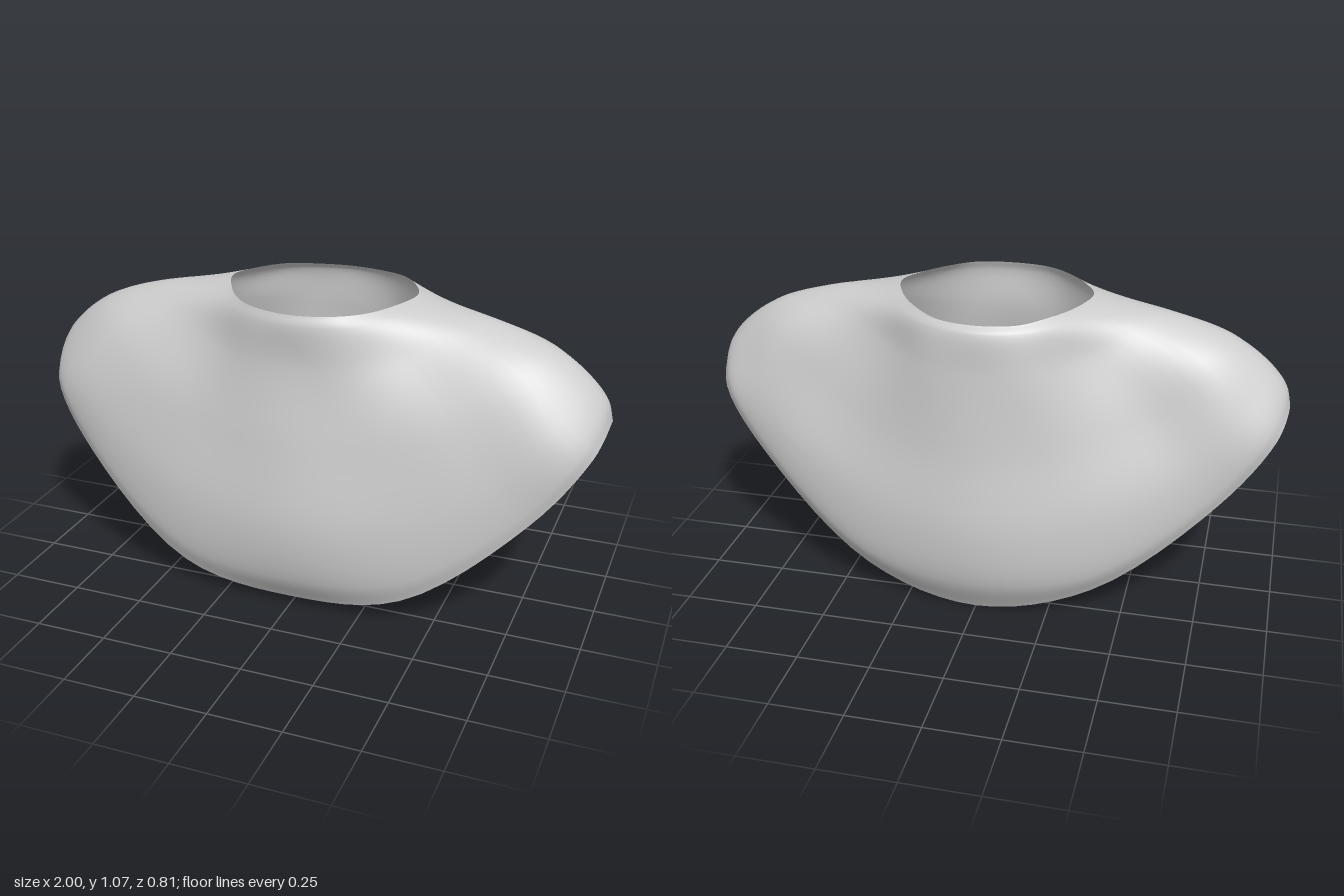
import * as THREE from 'three';

// Rings from neck opening to bottom hem; each point is [x, y, zFront, zBack, yBack if different],
// running from the centre line to the tip of the shoulder.
const neck = [[0, 1.053, 0.3, -0.305, 1.043], [0.13, 1.055, 0.275, -0.28, 1.045], [0.22, 1.055, 0.21, -0.215], [0.29, 1.06, 0.11, -0.12], [0.33, 1.065, 0, 0]];
const collar = [[0, 1.02, 0.312, -0.328], [0.14, 1.02, 0.288, -0.3], [0.25, 1.025, 0.22, -0.23], [0.35, 1.043, 0.115, -0.11], [0.41, 1.048, 0.01, 0.01]];
const collarBase = [[0, 0.88, 0.31, -0.34], [0.17, 0.88, 0.295, -0.315], [0.35, 0.92, 0.217, -0.195], [0.52, 0.99, 0.125, -0.09], [0.61, 1.014, 0.015, 0.015]];
const shoulder = [[0, 0.6, 0.365, -0.37], [0.25, 0.62, 0.335, -0.325], [0.53, 0.73, 0.273, -0.2], [0.73, 0.895, 0.17, -0.12], [0.8, 0.95, 0.02, 0.02]];
const chest = [[0, 0.32, 0.406, -0.408], [0.34, 0.36, 0.37, -0.35], [0.68, 0.54, 0.288, -0.225], [0.86, 0.74, 0.21, -0.14], [0.922, 0.865, 0.02, 0.02]];
const lower = [[0, 0.13, 0.38, -0.388], [0.4, 0.18, 0.355, -0.325], [0.77, 0.45, 0.265, -0.198], [0.94, 0.67, 0.192, -0.127], [0.982, 0.79, 0.02, 0.02]];
const hem = [[0, 0.03, 0.325, -0.322, 0], [0.4, 0.1, 0.33, -0.285], [0.8, 0.42, 0.245, -0.172], [0.97, 0.645, 0.162, -0.1], [1, 0.722, 0.02, 0.02]];

// Closed smooth ring: front to shoulder tip to back, then mirrored
function ringCurve(points) {
  const half = [
    ...points.map(([x, y, zf]) => new THREE.Vector3(x, y, zf)),
    ...points.slice(0, -1).reverse().map(([x, y, , zb, yb = y]) => new THREE.Vector3(x, yb, zb)),
  ];
  const mirrored = half.slice(1, -1).reverse().map((p) => new THREE.Vector3(-p.x, p.y, p.z));
  return new THREE.CatmullRomCurve3([...half, ...mirrored], true);
}

// Smooth surface through a stack of rings
function loft(rings, around, down) {
  const curves = rings.map(ringCurve);
  const positions = [];
  const index = [];
  for (let i = 0; i < around; i++) {
    const column = new THREE.CatmullRomCurve3(curves.map((c) => c.getPoint(i / around)));
    for (let j = 0; j <= down; j++) {
      const p = column.getPoint(j / down);
      positions.push(p.x, p.y, p.z);
      if (j === down) continue;
      const a = i * (down + 1) + j;
      const b = ((i + 1) % around) * (down + 1) + j;
      index.push(a, a + 1, b, b, a + 1, b + 1);
    }
  }
  const geometry = new THREE.BufferGeometry();
  geometry.setAttribute('position', new THREE.Float32BufferAttribute(positions, 3));
  geometry.setIndex(index);
  geometry.computeVertexNormals();
  return geometry;
}

export function createModel() {
  const group = new THREE.Group();
  group.name = 'shoulderCape';
  const material = new THREE.MeshStandardMaterial({ color: 0xcccccc, side: THREE.DoubleSide });
  // Thin open garment shell
  const cape = new THREE.Mesh(loft([neck, collar, collarBase, shoulder, chest, lower, hem], 96, 48), material);
  cape.name = 'cape';
  group.add(cape);
  return group;
}
